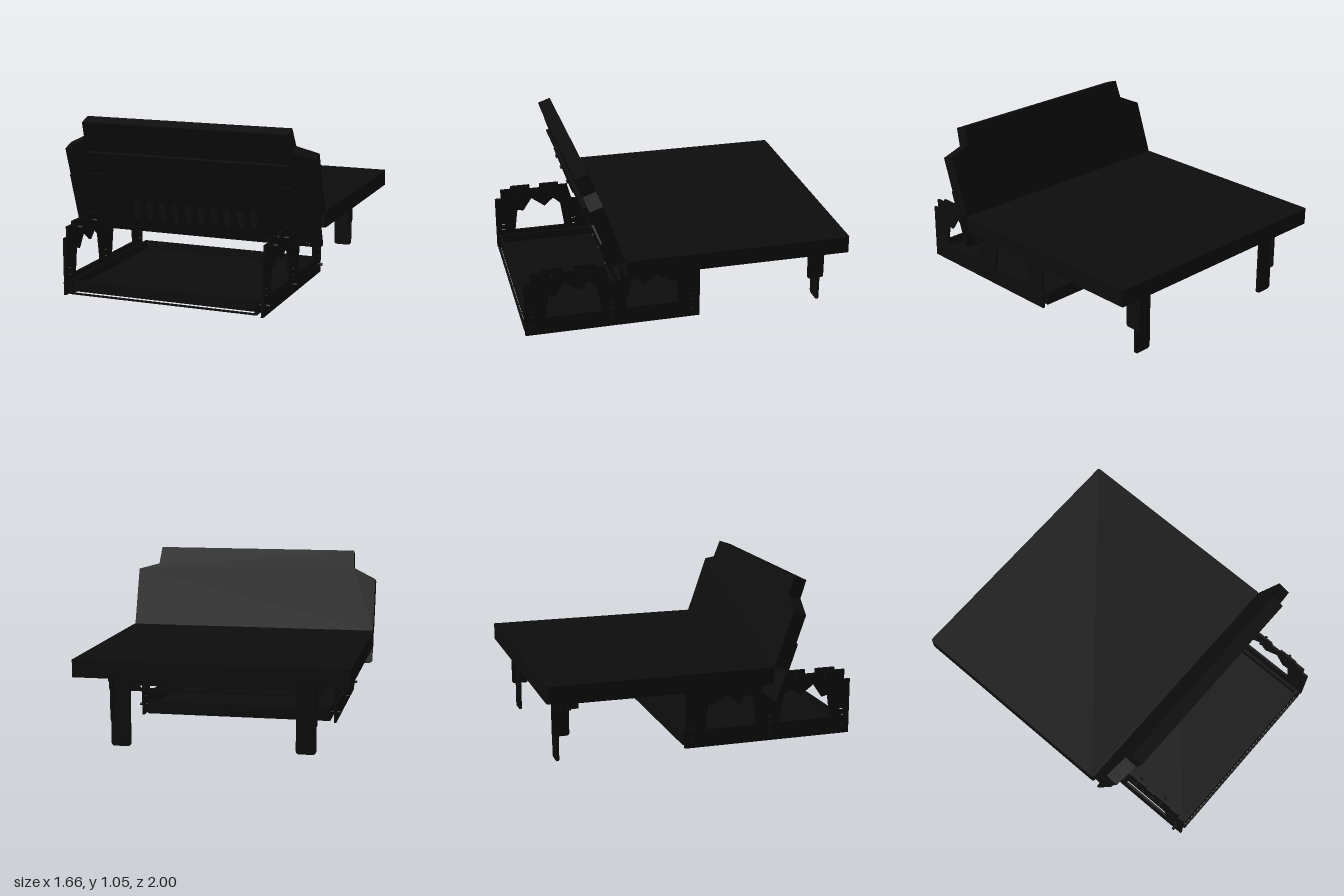
import * as THREE from 'three';

const black = new THREE.MeshStandardMaterial({ color: 0x0d0d0d });
black.name = 'black';

function add(parent, name, geometry, x = 0, y = 0, z = 0) {
  const mesh = new THREE.Mesh(geometry, black);
  mesh.name = name;
  mesh.position.set(x, y, z);
  parent.add(mesh);
  return mesh;
}

// Box given by its limits on each axis
function box(parent, name, x0, x1, y0, y1, z0, z1) {
  return add(parent, name, new THREE.BoxGeometry(x1 - x0, y1 - y0, z1 - z0),
    (x0 + x1) / 2, (y0 + y1) / 2, (z0 + z1) / 2);
}

const outline = pts => new THREE.Shape(pts.map(p => new THREE.Vector2(...p)));
const rect = (x0, x1, y0, y1) => [[x0, y0], [x1, y0], [x1, y1], [x0, y1]];

// Rounded-corner outline
function rounded(x0, x1, y0, y1, r) {
  const s = new THREE.Shape();
  s.absarc(x1 - r, y1 - r, r, 0, Math.PI / 2);
  s.absarc(x0 + r, y1 - r, r, Math.PI / 2, Math.PI);
  s.absarc(x0 + r, y0 + r, r, Math.PI, Math.PI * 1.5);
  s.absarc(x1 - r, y0 + r, r, Math.PI * 1.5, Math.PI * 2);
  return s;
}

function plate(shape, depth, holes = []) {
  shape.holes.push(...holes);
  return new THREE.ExtrudeGeometry(shape, { depth, bevelEnabled: false, curveSegments: 5 });
}

// Plate drawn in (z, y), standing across x
const sidePlate = (shape, depth, holes) =>
  plate(shape, depth, holes).rotateY(-Math.PI / 2).translate(depth / 2, 0, 0);

function buildSeat(root) {
  const seat = new THREE.Group();
  seat.name = 'seat';
  root.add(seat);
  add(seat, 'mattress', plate(rounded(-0.83, 0.83, -0.41, 1, 0.012), 0.105).rotateX(-Math.PI / 2), 0, 0.43, 0);

  // Slotted sheet below the mattress, and its frame
  const slots = [];
  for (let row = 0; row < 4; row++)
    for (let i = 0; i < 9; i++) {
      const x = -0.42 + i * 0.105, y = -0.2 + row * 0.26 + (i % 2) * 0.05;
      slots.push(rounded(x - 0.022, x + 0.022, y, y + 0.16, 0.021));
    }
  add(seat, 'seatSheet', plate(outline(rect(-0.66, 0.66, -0.38, 0.8)), 0.012, slots).rotateX(-Math.PI / 2), 0, 0.417, 0);
  for (const s of [-1, 1])
    box(seat, 'seatRail', s * 0.645 - 0.02, s * 0.645 + 0.02, 0.37, 0.43, -0.8, 0.41);
  for (const z of [-0.3, 0.1, 0.385]) box(seat, 'crossBar', -0.64, 0.64, 0.375, 0.425, z - 0.015, z + 0.015);

  // Slotted beam between the rear legs
  const gaps = [-0.38, -0.13, 0.13, 0.38].map(x => rounded(x - 0.08, x + 0.08, 0.345, 0.36, 0.007));
  add(seat, 'rearBeam', plate(outline(rect(-0.65, 0.65, 0.325, 0.43)), 0.015, gaps), 0, 0, -0.83);
  for (const s of [-1, 1]) {
    box(seat, 'beamBracket', s * 0.6 - 0.04, s * 0.6 + 0.04, 0.33, 0.43, -0.83, -0.765);
    add(seat, 'rearLeg', plate(rounded(s * 0.56 - 0.06, s * 0.56 + 0.06, 0, 0.43, 0.02), 0.015), 0, 0, -0.9);
    add(seat, 'rearLegFlange', sidePlate(rounded(-0.925, -0.82, 0.16, 0.43, 0.015), 0.015), s * 0.61, 0, 0);
  }
}

function buildBackrest(root) {
  const back = new THREE.Group();
  back.name = 'backrest';
  back.position.set(0, 0.535, 0.41);
  back.rotation.x = Math.atan2(0.18, 0.515);
  root.add(back);

  // Cushion with a narrower headrest above sloping shoulders
  add(back, 'backCushion', plate(outline([
    [-0.825, 0], [0.825, 0], [0.825, 0.392], [0.685, 0.432], [0.672, 0.55],
    [-0.67, 0.55], [-0.677, 0.43], [-0.825, 0.355]]), 0.085));

  // Slotted rear sheet reaching below the seat
  const holes = [-0.73, 0.73].map(x => rounded(x - 0.015, x + 0.015, -0.188, -0.178, 0.004));
  for (let i = 0; i < 10; i++) {
    const x = -0.3915 + i * 0.087;
    holes.push(rounded(x - 0.025, x + 0.025, -0.11, 0.235, 0.024));
  }
  add(back, 'backSheet', plate(outline([
    [-0.805, -0.205], [0.805, -0.205], [0.822, -0.19], [0.822, 0.17], [0.67, 0.23], [0.66, 0.35],
    [-0.66, 0.35], [-0.67, 0.23], [-0.822, 0.17], [-0.822, -0.19]]), 0.012, holes), 0, 0, 0.087);
  box(back, 'upperLip', -0.66, 0.66, 0.335, 0.35, 0.095, 0.108);

  // Hinge plates and bolts
  for (const s of [-1, 1]) {
    box(back, 'hingePlate', s * 0.62 - 0.05, s * 0.62 + 0.05, -0.12, 0.2, 0.097, 0.108);
    for (const v of [-0.06, 0.06, 0.15])
      add(back, 'hingeBolt', new THREE.CylinderGeometry(0.012, 0.012, 0.012, 12).rotateX(Math.PI / 2), s * 0.64, v, 0.112);
  }
}

function buildBase(root) {
  const base = new THREE.Group();
  base.name = 'base';
  root.add(base);

  // Open storage tray
  box(base, 'trayFloor', -0.605, 0.605, 0.037, 0.05, -0.09, 0.985);
  box(base, 'trayFront', -0.605, 0.605, 0.037, 0.105, 0.97, 0.985);
  box(base, 'trayBack', -0.605, 0.605, 0.02, 0.105, -0.1, -0.085);
  box(base, 'frontRail', -0.605, 0.605, 0.02, 0.029, 0.985, 1);
  for (const s of [-1, 1])
    box(base, 'traySide', s * 0.598 - 0.007, s * 0.598 + 0.007, 0.02, 0.105, -0.09, 1);

  // Side frames in (z, y) with two notched openings
  const sideOutline = [[1, 0.01], [1, 0.365], [0.96, 0.365], [0.96, 0.43], [0.89, 0.43], [0.89, 0.45],
    [0.76, 0.45], [0.76, 0.42], [0.69, 0.42], [0.69, 0.45], [0.56, 0.45], [0.56, 0.43],
    [0.5, 0.43], [0.47, 0.32], [0.4, 0.32], [0.4, 0.385], [-0.05, 0.385], [-0.05, 0.37],
    [-0.1, 0.37], [-0.1, 0.01]];
  const openings = [
    [[0.87, 0.123], [0.85, 0.273], [0.81, 0.262], [0.75, 0.35], [0.66, 0.283], [0.6, 0.337], [0.55, 0.294], [0.524, 0.123]],
    [[0.37, 0.123], [0.342, 0.294], [0.32, 0.326], [0.25, 0.267], [0.17, 0.33], [0.075, 0.267], [0.053, 0.283], [0.037, 0.123]]];
  for (const s of [-1, 1]) {
    const holes = openings.map(outline);
    for (const z of [0.95, 0.46, -0.05])
      for (const y of [0.13, 0.17]) holes.push(rounded(z - 0.015, z + 0.015, y - 0.005, y + 0.005, 0.004));
    add(base, 'sideFrame', sidePlate(outline(sideOutline), 0.015, holes), s * 0.637, 0, 0);

    // Cross bolts
    for (const [z, y] of [[0.825, 0.4], [0.625, 0.4], [0.2, 0.37], [0.95, 0.07], [0.46, 0.07], [-0.05, 0.07]])
      add(base, 'bolt', new THREE.CylinderGeometry(0.009, 0.009, 0.07, 12).rotateZ(Math.PI / 2), s * 0.635, y, z);
  }
}

export function createModel() {
  const root = new THREE.Group();
  root.name = 'sofaBed';
  buildSeat(root);
  buildBackrest(root);
  buildBase(root);
  return root;
}
